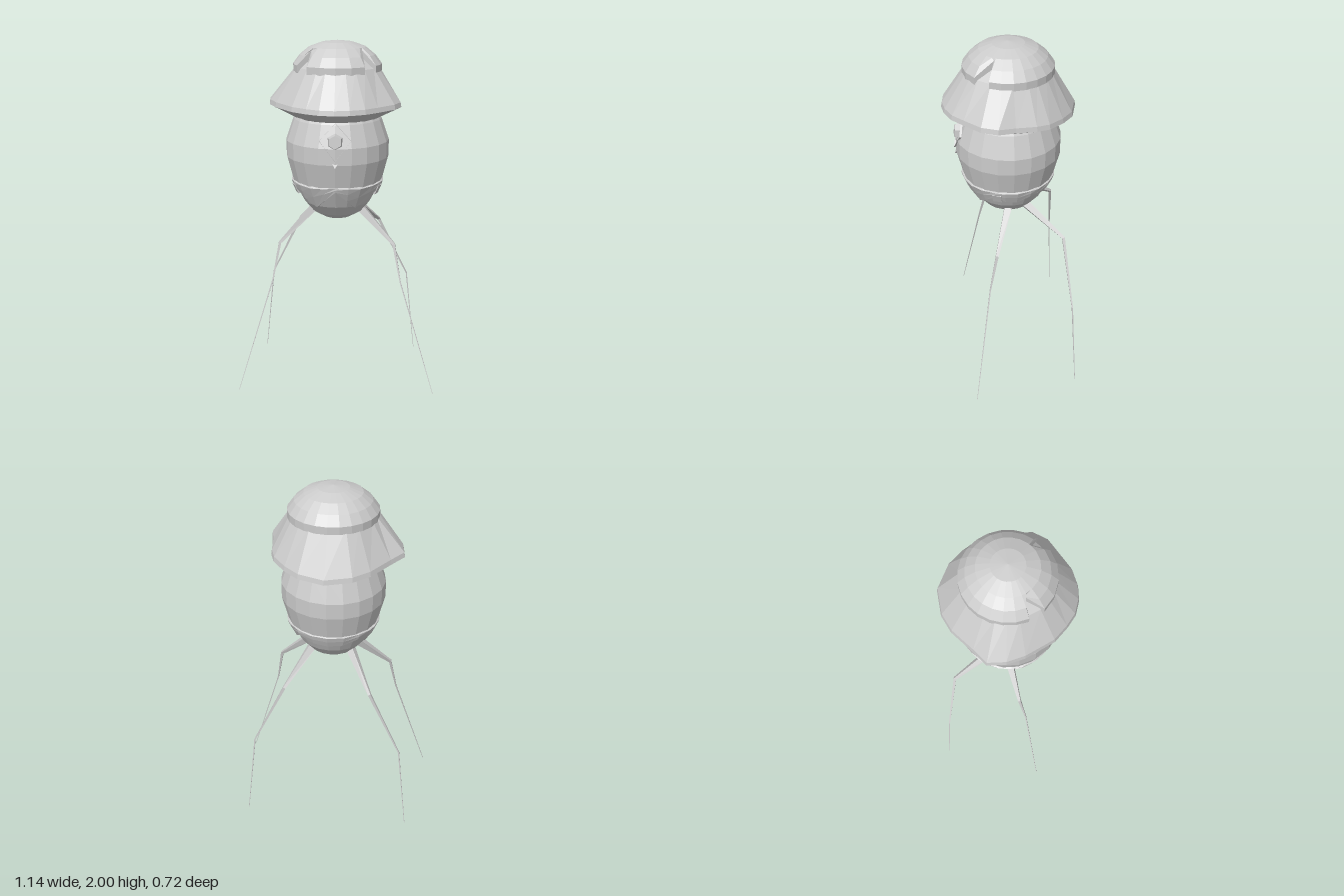
import * as THREE from 'three';

const DEG = Math.PI / 180;
const grey = new THREE.MeshStandardMaterial({ color: 0xcccccc, flatShading: true, side: THREE.DoubleSide });

// point at azimuth a (degrees from the front towards +x)
const polar = (r, a, y) => new THREE.Vector3(r * Math.sin(a * DEG), y, r * Math.cos(a * DEG));

// skin closed loops of points, listed from bottom to top
function skin(loops, caps = false) {
  const n = loops[0].length, index = [];
  for (let i = 0; i < loops.length - 1; i++) {
    for (let j = 0; j < n; j++) {
      const a = i * n + j, b = i * n + (j + 1) % n;
      index.push(a, b, b + n, a, b + n, a + n);
    }
  }
  if (caps) {
    const top = (loops.length - 1) * n;
    for (let j = 1; j < n - 1; j++) index.push(0, j + 1, j, top, top + j, top + j + 1);
  }
  const g = new THREE.BufferGeometry().setFromPoints(loops.flat());
  g.setIndex(index);
  const flat = g.toNonIndexed();
  flat.computeVertexNormals();
  return flat;
}

// egg-shaped body: radius, height
const bodyProfile = [[0, 1], [0.08, 1.015], [0.14, 1.05], [0.19, 1.11], [0.25, 1.225],
  [0.287, 1.37], [0.287, 1.46], [0.245, 1.58], [0.2, 1.66]];

function bodyRadius(y) {
  for (let i = 1; i < bodyProfile.length; i++) {
    const [r0, y0] = bodyProfile[i - 1], [r1, y1] = bodyProfile[i];
    if (y <= y1) return r0 + (r1 - r0) * (y - y0) / (y1 - y0);
  }
  return 0.2;
}

// ragged band round the lower body, deepest in two front lobes
function bandGeometry() {
  const half = [[0, 1.215], [16, 1.155], [32, 1.105], [50, 1.15], [66, 1.2], [80, 1.165], [95, 1.155],
    [112, 1.19], [122, 1.15], [140, 1.2], [160, 1.17], [180, 1.165]];
  const edge = [...half, ...half.slice(1, -1).reverse().map(([a, y]) => [360 - a, y])];
  const ring = (grow, f) => edge.map(([a, y]) => {
    const h = 1.24 + (y - 1.24) * f;
    return polar(bodyRadius(h) + grow, a, h);
  });
  return skin([ring(-0.005, 1), ring(0.014, 1), ring(0.012, 0.5), ring(0.009, 0.1), ring(-0.005, 0)]);
}

// hat brim with an uneven outline, seen from above as x, z
function brimGeometry() {
  const outline = [[0, 0.357], [0.08, 0.346], [0.16, 0.312], [0.225, 0.255], [0.315, 0.175], [0.35, 0.09],
    [0.33, 0], [0.316, -0.11], [0.29, -0.18], [0.22, -0.26], [0.14, -0.322], [0, -0.362], [-0.14, -0.322],
    [-0.225, -0.26], [-0.32, -0.14], [-0.385, -0.065], [-0.372, 0.03], [-0.33, 0.12], [-0.23, 0.255],
    [-0.15, 0.31], [-0.08, 0.346]];
  const angle = ([x, z]) => Math.atan2(x, z) / DEG;
  const lift = ([x, z]) => 1.64 + 0.045 * z + 0.14 * x * x;
  const rim = (f, up) => outline.map(p => polar(Math.hypot(...p) * f, angle(p), lift(p) + up));
  const round = (r, y) => outline.map(p => polar(r, angle(p), y));
  return skin([round(0.2, 1.6), round(0.235, 1.59), rim(1, -0.008), rim(0.985, 0.018), round(0.228, 1.86), round(0.14, 1.93)]);
}

// domed crown with a sharp notch cut on each side of the front
function crownGeometry() {
  const half = [0, 20, 39, 52, 60, 75, 90, 105, 120, 135, 150, 165, 180];
  const angles = [...half, ...half.slice(1, -1).reverse().map(a => 360 - a)];
  const profile = [[0.21, 1.845], [0.242, 1.835], [0.242, 1.876], [0.205, 1.925], [0.155, 1.965], [0.085, 1.99], [0, 2]];
  return skin(profile.map(([r, y], i) => angles.map(a => {
    const notch = a === 52 || a === 308;
    if (notch && i < 4) return polar(0.16, a < 180 ? 57 : 303, i < 2 ? 1.89 : 1.953);
    const front = a < 45 || a > 315;
    return polar(r, a, y - (front && i < 2 ? 0.012 : 0));
  })));
}

// pointed face plate with a diamond opening, bent onto the body
function facePlate() {
  const shape = new THREE.Shape([[0, 1.355], [0.15, 1.61], [-0.13, 1.61]].map(p => new THREE.Vector2(...p)));
  shape.holes.push(new THREE.Path([[0, 1.59], [-0.085, 1.5], [0, 1.395], [0.085, 1.5]].map(p => new THREE.Vector2(...p))));
  const g = new THREE.ExtrudeGeometry(shape, { depth: 0.03, bevelEnabled: false });
  const p = g.attributes.position;
  for (let i = 0; i < p.count; i++) {
    const r = bodyRadius(p.getY(i)), x = p.getX(i);
    p.setZ(i, Math.sqrt(r * r - x * x) + p.getZ(i) - 0.018);
  }
  g.computeVertexNormals();
  return g;
}

// four-sided tapering leg through its joints
function legGeometry(joints, radii) {
  const pts = joints.map(j => new THREE.Vector3(...j));
  const loops = pts.map((p, i) => {
    const dir = pts[Math.min(i + 1, pts.length - 1)].clone().sub(pts[Math.max(i - 1, 0)]).normalize();
    const u = new THREE.Vector3(0, 0, 1).cross(dir).normalize();
    const v = dir.clone().cross(u);
    return [0, 1, 2, 3].map(k => {
      const t = (k + 0.5) * Math.PI / 2;
      return p.clone().addScaledVector(u, radii[i] * Math.cos(t)).addScaledVector(v, radii[i] * Math.sin(t));
    });
  });
  return skin(loops, true);
}

export function createModel() {
  const model = new THREE.Group();
  const add = (name, geometry) => {
    const mesh = new THREE.Mesh(geometry, grey);
    mesh.name = name;
    model.add(mesh);
    return mesh;
  };

  add('body', new THREE.LatheGeometry(bodyProfile.map(p => new THREE.Vector2(...p)), 20));
  add('lowerBand', bandGeometry());
  add('hatBrim', brimGeometry());
  add('hatCrown', crownGeometry());
  add('facePlate', facePlate());

  // eye: a faceted stud in the diamond opening
  const eye = add('eye', new THREE.CylinderGeometry(0.036, 0.052, 0.05, 6));
  eye.rotation.x = Math.PI / 2 - 0.1;
  eye.position.set(0, 1.495, 0.268);

  for (const side of [1, -1]) {
    const name = side > 0 ? 'Left' : 'Right';
    const mirrored = joints => joints.map(([x, y, z]) => [x * side, y, z]);
    add('front' + name + 'Leg', legGeometry(
      mirrored([[0.12, 1.075, 0.01], [0.325, 0.87, 0.1], [0.365, 0.66, 0.145], [0.567, 0, 0.25]]),
      [0.03, 0.011, 0.005, 0.002]));
    add('back' + name + 'Leg', legGeometry(
      mirrored([[0.1, 1.075, -0.07], [0.24, 0.9, -0.285], [0.42, 0.53, -0.32], [0.48, 0, -0.348]]),
      [0.03, 0.011, 0.005, 0.002]));

    // small stud at the side of the band
    const stud = add('bandStud' + name, new THREE.BoxGeometry(0.022, 0.055, 0.05));
    stud.position.set(0.222 * side, 1.195, 0.085);
    stud.rotation.set(0, -0.35 * side, -0.4 * side);
  }
  return model;
}
